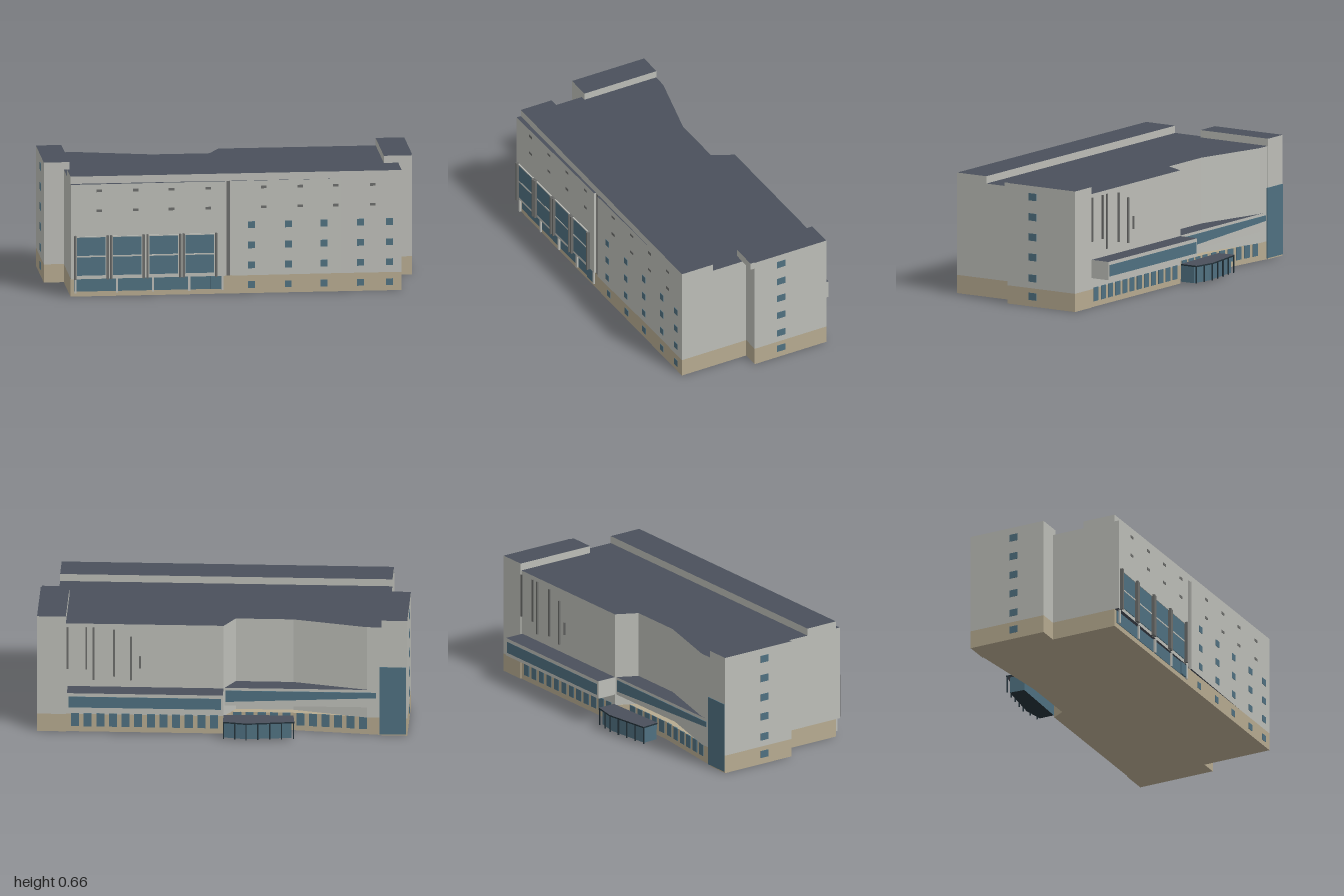
import * as THREE from 'three';

const mat = (color) => new THREE.MeshStandardMaterial({ color });

export function createModel() {
  const model = new THREE.Group();
  const wall = mat(0xbcbdb7), stone = mat(0xb6aa90), glass = mat(0x4f7080);
  const roof = mat(0x4a505b), dark = mat(0x23323a), trim = mat(0x6c6d6b);

  // Upright prism over a plan outline of [x, z] points
  const prism = (name, pts, y0, y1, side, cap = side) => {
    const shape = new THREE.Shape(pts.map(([x, z]) => new THREE.Vector2(x, -z)));
    const geo = new THREE.ExtrudeGeometry(shape, { depth: y1 - y0, bevelEnabled: false });
    geo.rotateX(-Math.PI / 2).translate(0, y0, 0);
    const mesh = new THREE.Mesh(geo, [cap, side]);
    mesh.name = name;
    model.add(mesh);
    return mesh;
  };
  const rect = (x0, x1, z0, z1) => [[x0, z0], [x1, z0], [x1, z1], [x0, z1]];
  const box = (name, x, y, z, w, h, d, m, turn = 0) => {
    const mesh = new THREE.Mesh(new THREE.BoxGeometry(w, h, d), m);
    mesh.position.set(x, y, z);
    mesh.rotation.y = turn;
    mesh.name = name;
    model.add(mesh);
  };
  // The front skin leans slightly forward towards -x
  const frontZ = (x) => Math.max(0.46, 0.47 - 0.0175 * x);

  // Stone ground storey, set back under the rear overhang
  prism('groundStorey', [[-0.89, 0.46], [0.9, 0.46], [0.9, -0.37], [-0.01, -0.37], [-0.05, -0.3],
    [-0.38, -0.3], [-0.8, -0.345], [-0.89, -0.355]], 0, 0.1, stone);

  // Main block with the folded rear wall
  prism('mainBlock', [[-0.89, 0.46], [0.9, 0.46], [0.9, -0.37], [-0.01, -0.37], [-0.07, -0.255],
    [-0.38, -0.255], [-0.78, -0.355], [-0.89, -0.355]], 0.1, 0.62, wall, roof);

  // Front skins with a slot between them
  prism('frontSkinRight', [[-0.89, 0.45], [-0.055, 0.45], [-0.055, frontZ(-0.055)], [-0.89, frontZ(-0.89)]],
    0.1, 0.62, wall, roof);
  prism('frontSkinLeft', [[-0.02, 0.45], [0.57, 0.45], [0.57, 0.46], [-0.02, frontZ(-0.02)]],
    0.1, 0.62, wall, roof);
  box('frontSlot', -0.0375, 0.36, 0.459, 0.02, 0.52, 0.006, trim);

  // Raised front roof strip
  prism('frontParapet', rect(-0.89, 0.9, 0.27, 0.46), 0.62, 0.66, wall, roof);

  // Stair towers at both ends with a column of side windows
  for (const [name, x0, x1, z0, z1, xw] of [
    ['towerLeft', 0.84, 0.995, -0.375, 0.065, 0.995],
    ['towerRight', -0.998, -0.86, -0.358, 0.085, -0.998]]) {
    prism(name + 'Base', rect(x0, x1, z0, z1), 0, 0.1, stone);
    prism(name, rect(x0, x1, z0, z1), 0.1, 0.66, wall, roof);
    for (const y of [0.055, 0.155, 0.27, 0.38, 0.49, 0.6])
      box(name + 'Window', xw, y, -0.097, 0.004, 0.04, 0.05, glass);
  }
  prism('towerLeftCap', rect(0.84, 0.99, 0.06, 0.088), 0.62, 0.66, wall, roof);

  // Small front windows
  for (const x of [0.088, 0.287, 0.48, 0.678, 0.834])
    for (const y of [0.047, 0.157, 0.267, 0.378])
      box('frontWindow', x, y, y < 0.1 ? 0.46 : frontZ(x), 0.037, 0.037, 0.005, glass);

  // Two rows of small vents under the roof
  for (const x of [-0.737, -0.539, -0.346, -0.147, 0.153, 0.351, 0.544, 0.743])
    for (const y of [0.475, 0.584])
      box('vent', x, y, frontZ(x), 0.03, 0.014, 0.005, trim);

  // Tall front windows flanked by fins
  for (const x of [-0.78, -0.585, -0.388, -0.193]) {
    const z = frontZ(x);
    box('tallWindow', x, 0.225, z, 0.155, 0.21, 0.008, glass, 0.0175);
    box('tallWindowRail', x, 0.225, z + 0.004, 0.155, 0.008, 0.004, wall, 0.0175);
    box('tallWindowHead', x, 0.333, z + 0.003, 0.17, 0.006, 0.008, wall, 0.0175);
    for (const s of [-1, 1])
      box('windowFin', x + s * 0.088, 0.22, z + 0.009, 0.011, 0.24, 0.018, trim);
  }

  // Ground floor front glazing and slim columns
  box('shopGlazing', -0.47, 0.065, 0.459, 0.8, 0.075, 0.008, glass);
  box('frontDoor', -0.1, 0.063, 0.464, 0.07, 0.07, 0.012, glass);
  for (const x of [-0.865, -0.64, -0.445, -0.25, -0.07])
    box('frontColumn', x, 0.062, frontZ(x) - 0.006, 0.012, 0.08, 0.01, wall);

  // Rear gallery: straight box and the part filling the folded recess
  prism('rearGallery', rect(-0.01, 0.83, -0.48, -0.36), 0.16, 0.26, wall, roof);
  box('rearGalleryGlazing', 0.41, 0.21, -0.48, 0.82, 0.062, 0.004, glass);
  prism('recessGallery', [[-0.012, -0.362], [-0.82, -0.358], [-0.78, -0.35], [-0.38, -0.25], [-0.07, -0.25]],
    0.16, 0.26, wall, roof);

  // Ribbon glazing narrowing towards the tower
  const ribbon = new THREE.Shape([[0.02, 0.18], [0.83, 0.215], [0.83, 0.245], [0.02, 0.245]]
    .map(([x, y]) => new THREE.Vector2(x, y)));
  const ribbonMesh = new THREE.Mesh(new THREE.ExtrudeGeometry(ribbon, { depth: 0.004, bevelEnabled: false }), glass);
  ribbonMesh.rotation.y = Math.PI;
  ribbonMesh.position.z = -0.36;
  ribbonMesh.name = 'recessGalleryGlazing';
  model.add(ribbonMesh);

  // Rear wall band between ground storey and gallery, with ground windows
  for (let i = 0; i < 12; i++)
    box('rearWindow', 0.79 - i * 0.068, 0.068, -0.371, 0.043, 0.075, 0.006, glass);
  for (let i = 0; i < 6; i++) {
    const x = -0.42 - i * 0.068;
    box('recessWindow', x, 0.065, -0.3 + (x + 0.38) * 0.107, 0.043, 0.07, 0.008, glass, -0.107);
  }
  for (let i = 0; i < 5; i++)
    box('recessWindow', -0.08 - i * 0.066, 0.065, -0.301, 0.043, 0.07, 0.006, glass);

  // Tall stair glazing on the rear of the right tower
  box('stairGlazing', -0.92, 0.2, -0.359, 0.145, 0.385, 0.006, glass);

  // Narrow slots of varying length in the rear wall
  for (const [x, y0, y1] of [[0.83, 0.36, 0.6], [0.73, 0.36, 0.6], [0.69, 0.3, 0.6],
    [0.58, 0.32, 0.59], [0.49, 0.3, 0.55], [0.44, 0.37, 0.44]])
    box('rearSlot', x, (y0 + y1) / 2, -0.373, 0.01, y1 - y0, 0.01, trim);

  // Glazed entrance porch with a thin roof and dark posts
  prism('porchGlass', [[-0.375, -0.36], [-0.38, -0.445], [-0.13, -0.475], [-0.015, -0.455], [-0.015, -0.37]],
    0.01, 0.1, glass, dark);
  prism('porchRoof', [[-0.385, -0.36], [-0.395, -0.46], [-0.135, -0.497], [-0.01, -0.475], [-0.01, -0.375]],
    0.1, 0.108, dark, roof);
  const edge = [[-0.39, -0.457], [-0.135, -0.493], [-0.014, -0.472]];
  for (let k = 0; k < 2; k++) {
    const n = k ? 2 : 4, [a, b] = [edge[k], edge[k + 1]];
    for (let i = k; i <= n; i++)
      box('porchPost', a[0] + (b[0] - a[0]) * i / n, 0.055, a[1] + (b[1] - a[1]) * i / n, 0.006, 0.09, 0.006, dark);
  }
  return model;
}
